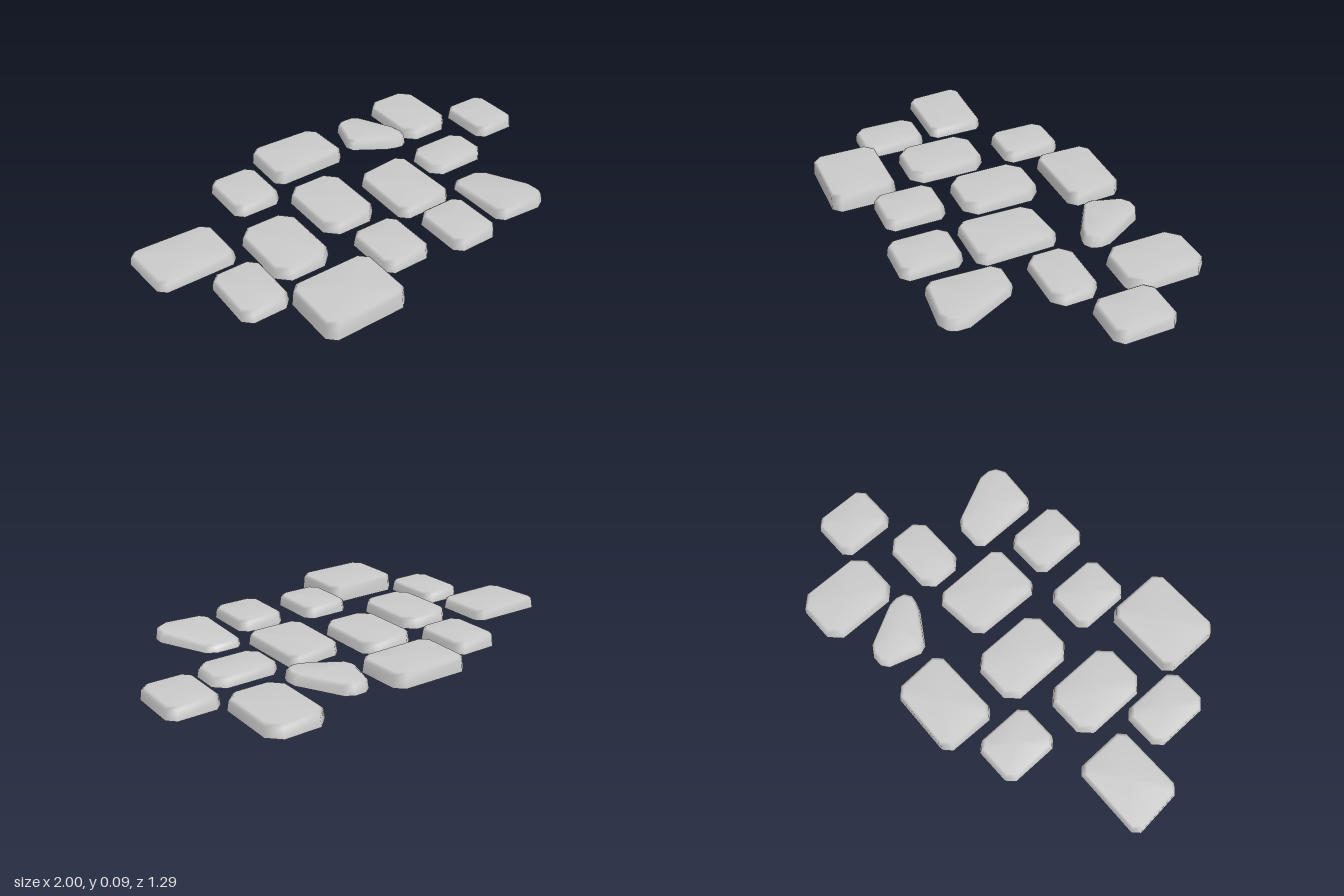
import * as THREE from 'three';

const material = new THREE.MeshStandardMaterial({ color: 0xcccccc, side: THREE.DoubleSide });

// Cuts every corner of a polygon of [x, z] points, at a set distance along both its edges
function cutCorners(corners, cut) {
  const points = corners.map(([x, z]) => new THREE.Vector2(x, z));
  const n = points.length;
  return points.flatMap((p, i) => [points[(i + n - 1) % n], points[(i + 1) % n]].map((q) => {
    const d = q.clone().sub(p);
    return p.clone().addScaledVector(d, cut / d.length());
  }));
}

// Hollow stone, open below: bottom rim, shoulder, softened top edge and flat top
function addStone(group, name, corners, y0, y1, { cut = 0.04, slope = 0 } = {}) {
  const outline = cutCorners(corners, cut);
  const n = outline.length;
  const c = outline.reduce((s, p) => s.addScaledVector(p, 1 / n), new THREE.Vector2());
  const rings = [[0, y0], [0.006, y1 - 0.012], [0.022, y1 - 0.001]];
  const pos = [], index = [];
  rings.forEach(([inset, y], r) => {
    for (const p of outline) {
      const q = p.clone().lerp(c, inset / p.distanceTo(c));
      pos.push(q.x, y + (r ? slope * (p.y - c.y) : 0), q.y);
    }
  });
  pos.push(c.x, y1, c.y);
  for (let i = 0; i < n; i++) {
    const j = (i + 1) % n;
    for (let r = 0; r < 2; r++) {
      const a = r * n + i, b = r * n + j;
      index.push(a, a + n, b, b, a + n, b + n);
    }
    index.push(2 * n + i, 3 * n, 2 * n + j);
  }
  const geometry = new THREE.BufferGeometry();
  geometry.setAttribute('position', new THREE.Float32BufferAttribute(pos, 3));
  geometry.setIndex(index);
  geometry.computeVertexNormals();
  const mesh = new THREE.Mesh(geometry, material);
  mesh.name = name;
  group.add(mesh);
}

// Rectangle corners around a centre
function rect(x, z, w, d) {
  return [[-1, -1], [1, -1], [1, 1], [-1, 1]].map(([i, j]) => [x + i * w / 2, z + j * d / 2]);
}

export function createModel() {
  const group = new THREE.Group();
  group.name = 'steppingStones';

  // Small stones, one shape laid four times: x, z, underside height
  [[-0.385, -0.355, 0.015], [0.885, -0.215, 0.03], [-0.092, 0.337, 0.03], [0.228, 0.387, 0.024]]
    .forEach(([x, z, y], i) =>
      addStone(group, `smallStone${i + 1}`, rect(x, z, 0.227, 0.277), y, y + 0.053, { cut: 0.033 }));

  // Long stones, one shape laid three times
  [[0.625, -0.467, 0.004], [-0.11, -0.072, 0.002], [-0.435, 0.06, 0]]
    .forEach(([x, z, y], i) =>
      addStone(group, `longStone${i + 1}`, rect(x, z, 0.262, 0.366), y, y + 0.053, { cut: 0.052 }));

  // Other rectangular stones
  addStone(group, 'wideStone', rect(-0.412, 0.49, 0.375, 0.3), 0.015, 0.092, { cut: 0.035 });
  addStone(group, 'flatStone', rect(0.557, -0.075, 0.305, 0.21), 0.01, 0.055, { cut: 0.045 });
  addStone(group, 'sideStone', rect(-0.697, 0.225, 0.216, 0.3), 0.01, 0.06, { cut: 0.036 });

  // Skewed stones
  addStone(group, 'backStone',
    [[-0.22, -0.605], [0.14, -0.595], [0.15, -0.335], [-0.225, -0.33]], 0.01, 0.072, { cut: 0.035 });
  addStone(group, 'endStone',
    [[-1.005, -0.25], [-0.632, -0.24], [-0.63, 0.025], [-0.985, 0.025]], 0.008, 0.057, { cut: 0.03 });
  addStone(group, 'centreStone',
    [[0.09, -0.155], [0.355, -0.178], [0.36, 0.2], [0.083, 0.2]], 0.005, 0.057, { cut: 0.035 });

  // Wedge stones
  addStone(group, 'backWedge',
    [[0.19, -0.37], [0.25, -0.56], [0.35, -0.56], [0.475, -0.33], [0.45, -0.245], [0.37, -0.255]],
    0.03, 0.08, { cut: 0.025 });
  addStone(group, 'frontWedge',
    [[0.403, 0.13], [0.565, 0.13], [0.69, 0.4], [0.645, 0.485], [0.405, 0.465]],
    0.02, 0.065, { cut: 0.03, slope: 0.05 });
  return group;
}
